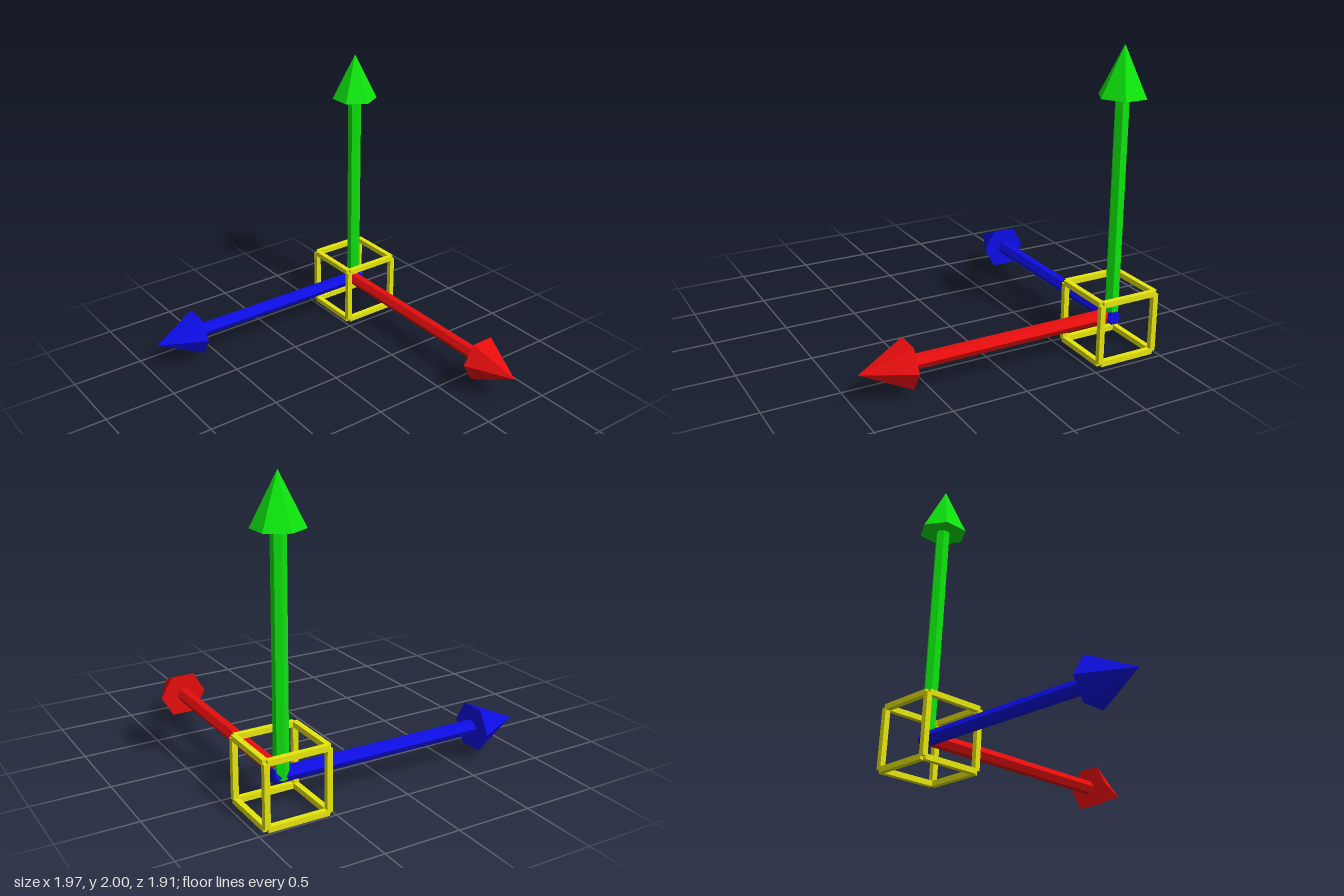
import * as THREE from 'three';

const material = (color) => new THREE.MeshStandardMaterial({ color, flatShading: true });

// Six-sided arrow from start to tip; spin sets where the hexagon corners point
function makeArrow(name, color, start, tip, spin) {
  const group = new THREE.Group();
  group.name = name;
  const mat = material(color);
  const a = new THREE.Vector3(...start);
  const dir = new THREE.Vector3(...tip).sub(a);
  const length = dir.length();
  const headLength = 0.32;
  const shaftLength = length - headLength;

  const shaft = new THREE.Mesh(
    new THREE.CylinderGeometry(0.047, 0.047, shaftLength, 6, 1, false, spin), mat);
  shaft.name = name + 'Shaft';
  shaft.position.y = shaftLength / 2;

  const head = new THREE.Mesh(
    new THREE.ConeGeometry(0.159, headLength, 6, 1, false, spin), mat);
  head.name = name + 'Head';
  head.position.y = length - headLength / 2;

  group.add(shaft, head);
  group.position.copy(a);
  group.quaternion.setFromUnitVectors(new THREE.Vector3(0, 1, 0), dir.normalize());
  return group;
}

// Wire cube of twelve square bars, each stopping short so the corners are notched
function makeCubeFrame(size, bar, notch) {
  const group = new THREE.Group();
  group.name = 'cubeFrame';
  const mat = material(0xe6e60d);
  const offset = (size - bar) / 2;
  const length = size - 2 * notch;
  for (let axis = 0; axis < 3; axis++) {
    const dims = [bar, bar, bar];
    dims[axis] = length;
    const geometry = new THREE.BoxGeometry(...dims);
    for (const s of [-1, 1]) {
      for (const t of [-1, 1]) {
        const p = [0, 0, 0];
        p[(axis + 1) % 3] = s * offset;
        p[(axis + 2) % 3] = t * offset;
        const mesh = new THREE.Mesh(geometry, mat);
        mesh.name = 'frameBar' + 'XYZ'[axis];
        mesh.position.set(...p);
        group.add(mesh);
      }
    }
  }
  return group;
}

export function createModel() {
  const model = new THREE.Group();
  model.name = 'axisMarker';

  // Three axis arrows
  model.add(
    makeArrow('redArrow', 0xe60d0d, [-0.785, 0.229, -0.734], [0.982, 0.229, -0.734], 0),
    makeArrow('greenArrow', 0x0de60d, [-0.787, 0.21, -0.745], [-0.787, 2, -0.745], Math.PI / 2),
    makeArrow('blueArrow', 0x0d0de6, [-0.779, 0.229, -0.795], [-0.79, 0.224, 0.958], Math.PI / 2),
  );

  // Frame around the origin
  const frame = makeCubeFrame(0.439, 0.036, 0.022);
  frame.position.set(-0.769, 0.2245, -0.737);
  model.add(frame);

  return model;
}
